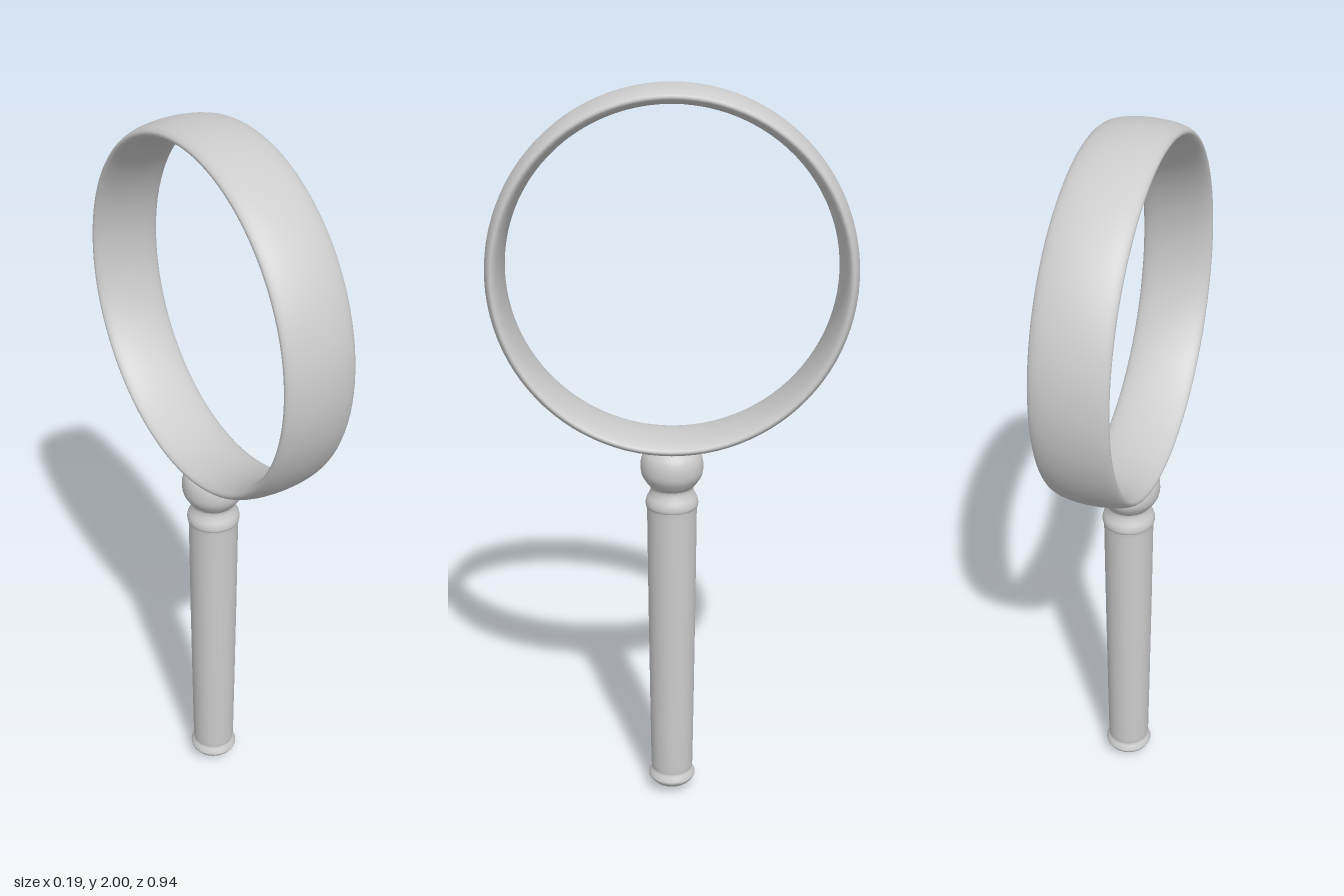
import * as THREE from 'three';

export function createModel() {
  const group = new THREE.Group();
  const material = new THREE.MeshStandardMaterial({ color: 0xcccccc });
  const add = (name, geometry) => {
    const mesh = new THREE.Mesh(geometry, material);
    mesh.name = name;
    group.add(mesh);
    return mesh;
  };
  // Smooth surface of revolution from a few [radius, height] points, bottom to top
  const turned = (points, steps) => {
    const curve = new THREE.SplineCurve(points.map(([r, y]) => new THREE.Vector2(r, y)));
    const profile = curve.getPoints(steps);
    profile.forEach((p) => { p.x = Math.max(p.x, 0); });
    return new THREE.LatheGeometry(profile, 32);
  };

  // Broad hoop: a torus stretched along its axis to an oval section
  const rim = new THREE.TorusGeometry(0.447, 0.0235, 32, 96);
  rim.scale(1, 1, 0.095 / 0.0235);
  rim.rotateY(Math.PI / 2);
  add('rim', rim).position.y = 1.5295;

  // Pointed end cap
  add('pommel', turned([
    [0, 0], [0.025, 0.011], [0.052, 0.028], [0.066, 0.045], [0.064, 0.056], [0.058, 0.068], [0.057, 0.08],
  ], 30));

  // Long, slightly tapered grip
  add('grip', new THREE.LatheGeometry([
    [0.057, 0.07], [0.0595, 0.085], [0.062, 0.3], [0.065, 0.6], [0.067, 0.88], [0.069, 0.9],
  ].map(([r, y]) => new THREE.Vector2(r, y)), 32));

  // Flared collar narrowing to the neck
  add('collar', turned([
    [0.066, 0.893], [0.071, 0.903], [0.069, 0.918], [0.061, 0.935], [0.057, 0.95], [0.061, 0.965],
  ], 24));

  // Rounded bulb seated in the underside of the rim
  add('bulb', turned([
    [0.058, 0.955], [0.07, 0.97], [0.081, 0.99], [0.084, 1.012], [0.081, 1.035], [0.072, 1.053], [0.055, 1.066], [0, 1.075],
  ], 36));

  return group;
}
